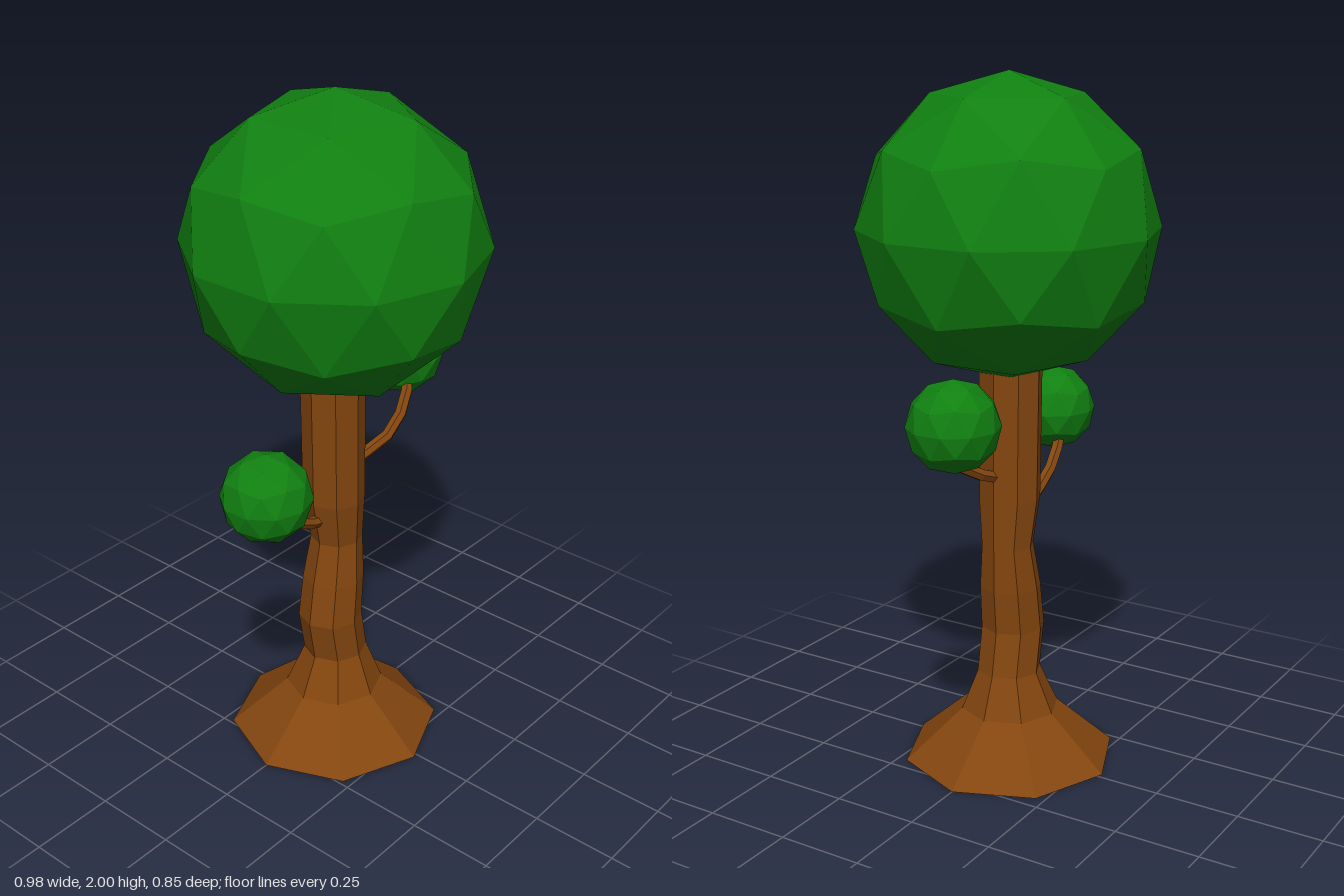
import * as THREE from 'three';

const bark = new THREE.MeshStandardMaterial({ color: 0x84460f, flatShading: true });
const leaf = new THREE.MeshStandardMaterial({ color: 0x118011, flatShading: true });

function addPart(group, name, geometry, material) {
  const mesh = new THREE.Mesh(geometry, material);
  mesh.name = name;
  group.add(mesh);
  return mesh;
}

// Faceted ball of leaves, with one corner pointing straight up
function foliage(group, name, radius, x, y, z) {
  const geometry = new THREE.IcosahedronGeometry(radius, 1);
  geometry.rotateZ(-Math.atan(2 / (1 + Math.sqrt(5))));
  addPart(group, name, geometry, leaf).position.set(x, y, z);
}

// Thin bent branch through a few points
function branch(group, name, points) {
  const curve = new THREE.CatmullRomCurve3(points.map((p) => new THREE.Vector3(...p)));
  addPart(group, name, new THREE.TubeGeometry(curve, 5, 0.018, 6), bark);
}

// Eight-sided trunk: each ring is [height, radius, sideways shift]
function trunkGeometry() {
  const rings = [
    [0, 0.315, -0.015], [0.15, 0.145, -0.015], [0.27, 0.094, -0.01],
    [0.4, 0.094, -0.033], [0.53, 0.09, -0.018], [0.66, 0.076, -0.003],
    [0.8, 0.09, -0.015], [1.2, 0.092, -0.02],
  ];
  const last = rings.length - 1;
  const geometry = new THREE.CylinderGeometry(1, 1, 1, 8, last);
  const pos = geometry.attributes.position;
  for (let i = 0; i < pos.count; i++) {
    const [y, r, shift] = rings[Math.round((pos.getY(i) + 0.5) * last)];
    pos.setXYZ(i, pos.getX(i) * r + shift, y, pos.getZ(i) * r);
  }
  geometry.computeVertexNormals();
  return geometry;
}

export function createModel() {
  const tree = new THREE.Group();
  tree.name = 'tree';

  addPart(tree, 'trunk', trunkGeometry(), bark);

  branch(tree, 'leftBranch', [
    [0.04, 0.87, 0], [0.09, 0.885, 0.01], [0.19, 0.94, 0.045], [0.285, 1.02, 0.025], [0.34, 1.07, -0.02],
  ]);
  branch(tree, 'rightBranch', [
    [-0.05, 0.735, 0], [-0.1, 0.745, 0], [-0.156, 0.768, 0], [-0.257, 0.837, 0], [-0.34, 0.92, 0.02],
  ]);

  foliage(tree, 'crown', 0.425, -0.01, 1.575, 0);
  foliage(tree, 'leftFoliage', 0.128, 0.365, 1.107, -0.06);
  foliage(tree, 'rightFoliage', 0.128, -0.37, 0.978, 0.065);

  return tree;
}
